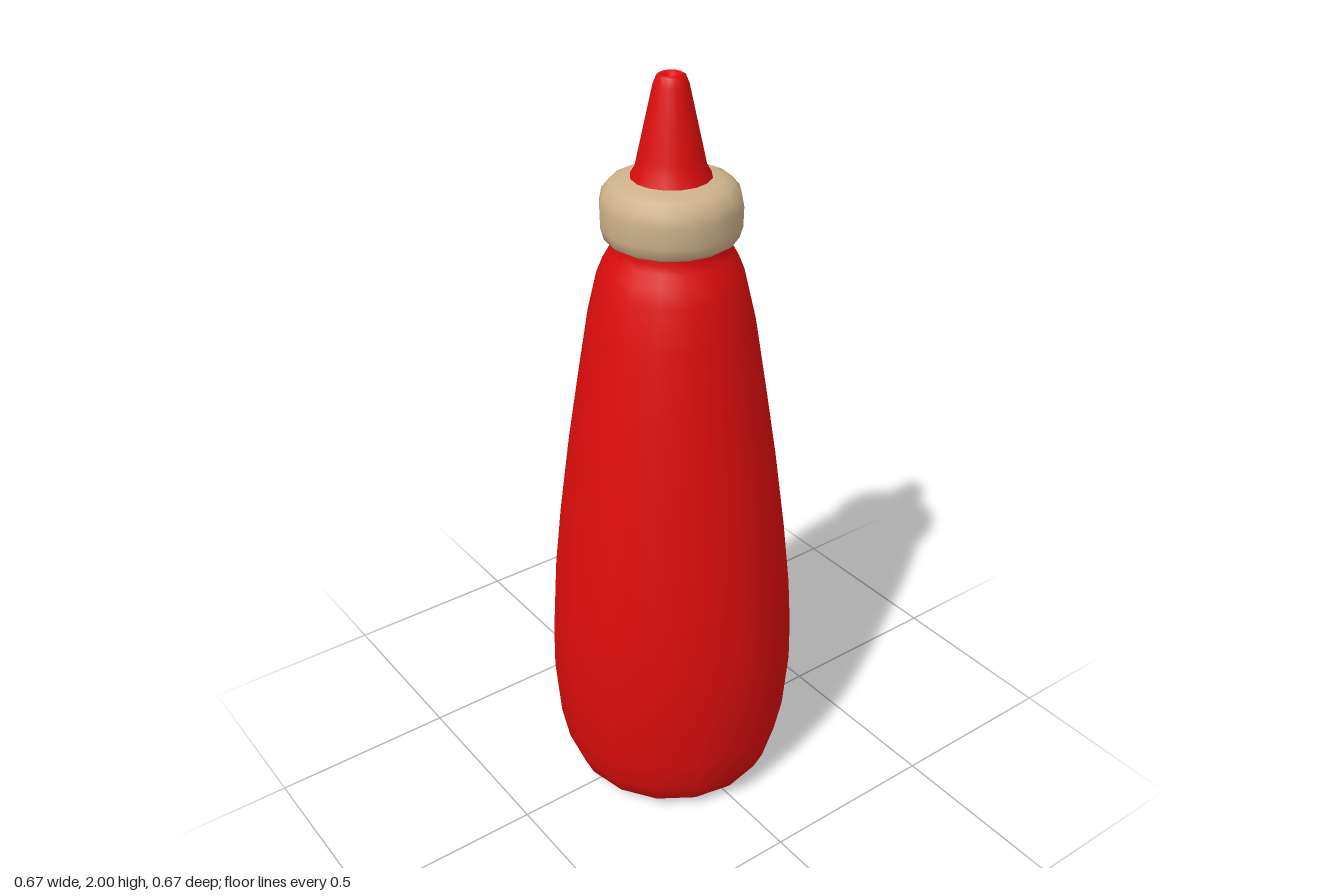
import * as THREE from 'three';

const SIDES = 16;

// Smooth-shaded turned part from [radius, height] pairs, listed bottom to top
function turned(name, color, profile) {
  const points = profile.map(([r, y]) => new THREE.Vector2(r, y));
  const material = new THREE.MeshStandardMaterial({ color, side: THREE.DoubleSide });
  const mesh = new THREE.Mesh(new THREE.LatheGeometry(points, SIDES), material);
  mesh.name = name;
  return mesh;
}

export function createModel() {
  const red = 0xdd0d0d;
  const tan = 0xcdb28a;
  const group = new THREE.Group();
  group.name = 'squeezeBottle';

  // Tapering body with a rounded foot and a short neck
  group.add(turned('body', red, [
    [0, 0.005], [0.2, 0], [0.24, 0.008], [0.275, 0.035], [0.3, 0.09], [0.32, 0.19],
    [0.333, 0.36], [0.331, 0.48], [0.322, 0.62], [0.302, 0.8], [0.272, 1.02],
    [0.24, 1.22], [0.21, 1.4], [0.186, 1.5], [0.17, 1.54], [0.153, 1.57],
    [0.146, 1.59], [0.146, 1.62],
  ]));

  // Rounded screw collar
  group.add(turned('collar', tan, [
    [0.1, 1.605], [0.15, 1.602], [0.165, 1.612], [0.173, 1.64], [0.174, 1.69],
    [0.168, 1.72], [0.15, 1.742], [0.125, 1.753], [0.09, 1.758],
  ]));

  // Flared nozzle with a dimpled tip
  group.add(turned('nozzle', red, [
    [0.1, 1.745], [0.098, 1.76], [0.087, 1.778], [0.08, 1.81], [0.062, 1.89],
    [0.043, 1.975], [0.034, 1.996], [0.027, 2], [0.018, 1.995], [0, 1.98],
  ]));

  return group;
}
